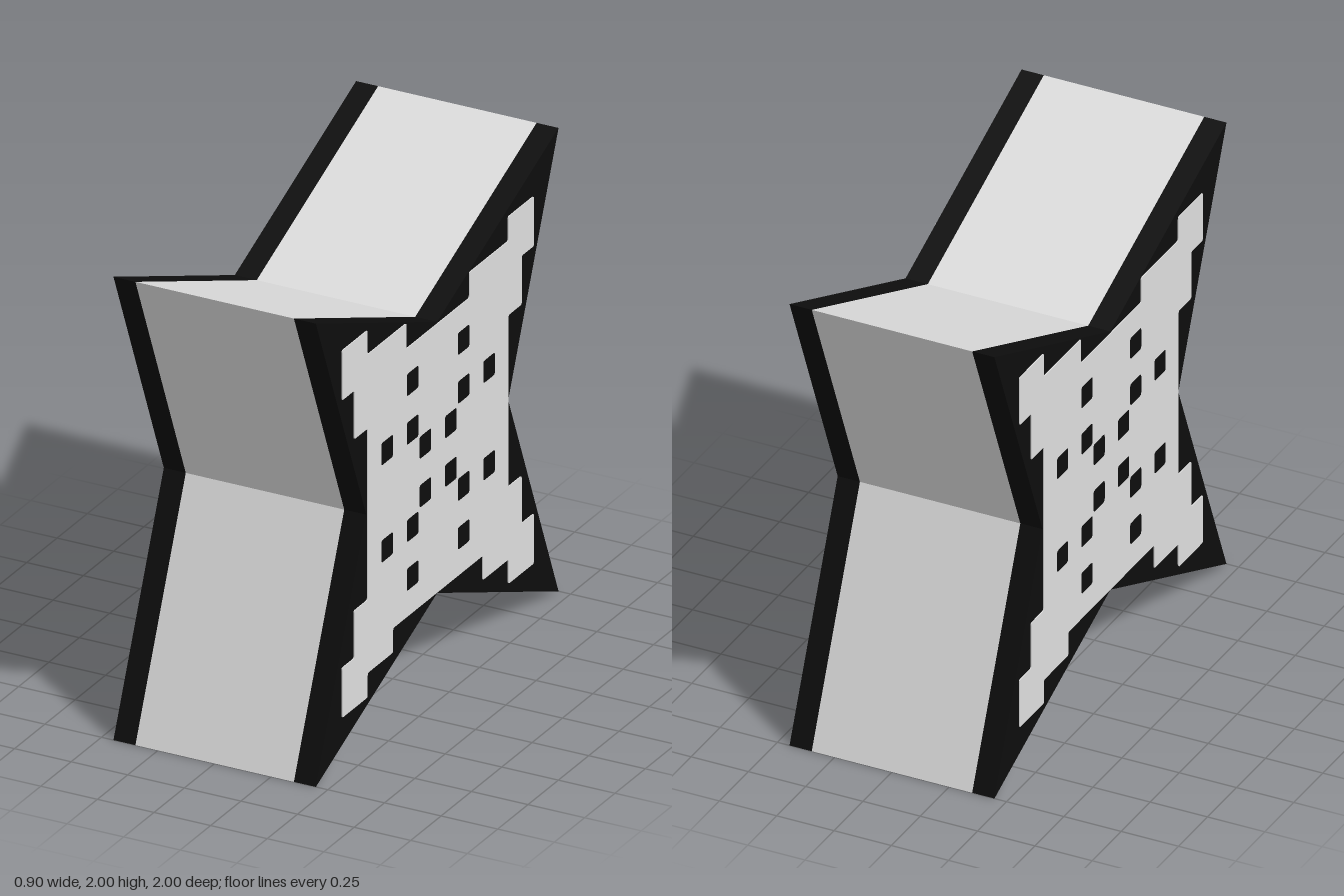
import * as THREE from 'three';

const light = new THREE.MeshStandardMaterial({ color: 0xdedede });
light.name = 'light grey';
const black = new THREE.MeshStandardMaterial({ color: 0x0d0d0d });
black.name = 'black';

const CENTER_Y = 1, NOTCH = 0.585, CORE_HALF = 0.35, HALF = 0.447, PLATE = 0.004;

// Four-pointed star profile, drawn as (z, y)
function starShape() {
  const n = NOTCH;
  const points = [[1, 1], [0, n], [-1, 1], [-n, 0], [-1, -1], [0, -n], [1, -1], [n, 0]];
  return new THREE.Shape(points.map(([z, y]) => new THREE.Vector2(z, y)));
}

// Closed polygon with slightly softened corners
function softPath(points, radius, path) {
  const v = points.map(([z, y]) => new THREE.Vector2(z, y));
  v.forEach((p, i) => {
    const before = v[(i + v.length - 1) % v.length], after = v[(i + 1) % v.length];
    const a = p.clone().add(before.clone().sub(p).setLength(radius));
    const b = p.clone().add(after.clone().sub(p).setLength(radius));
    if (i === 0) path.moveTo(a.x, a.y);
    else path.lineTo(a.x, a.y);
    path.quadraticCurveTo(p.x, p.y, b.x, b.y);
  });
  path.closePath();
  return path;
}

// Stepped plate with square holes
function plateShape() {
  const half = [
    [0.26, 0.58], [0.26, 0.69], [0.58, 0.69], [0.58, 0.795], [0.79, 0.795], [0.79, 0.58],
    [0.69, 0.58], [0.69, 0.37], [0.58, 0.37], [0.58, -0.37], [0.69, -0.37], [0.69, -0.575],
    [0.79, -0.575], [0.79, -0.79], [0.58, -0.79], [0.58, -0.685], [0.37, -0.685], [0.37, -0.58],
  ];
  const outline = [...half, ...half.map(([z, y]) => [-z, y]).reverse()];
  const shape = softPath(outline, 0.01, new THREE.Shape());
  const h = 0.048;
  for (const [z, y] of [[0.21, 0.42], [0.21, 0.21], [0.42, 0.21], [0.105, 0.105]]) {
    for (const sz of [1, -1]) for (const sy of [1, -1]) {
      const cz = z * sz, cy = y * sy;
      const square = [[cz - h, cy - h], [cz - h, cy + h], [cz + h, cy + h], [cz + h, cy - h]];
      shape.holes.push(softPath(square, 0.012, new THREE.Path()));
    }
  }
  return shape;
}

// Extrudes a (z, y) shape across x, from the middle position outward both ways
function slab(name, shape, thickness, x, material) {
  const geometry = new THREE.ExtrudeGeometry(shape, { depth: thickness, bevelEnabled: false, curveSegments: 3 });
  geometry.translate(0, 0, -thickness / 2);
  geometry.rotateY(-Math.PI / 2);
  const mesh = new THREE.Mesh(geometry, material);
  mesh.name = name;
  mesh.position.set(x, CENTER_Y, 0);
  return mesh;
}

export function createModel() {
  const group = new THREE.Group();
  group.name = 'star block';
  group.add(slab('starCore', starShape(), CORE_HALF * 2, 0, light));

  // Black end caps and their patterned plates
  for (const [side, s] of [['left', 1], ['right', -1]]) {
    group.add(slab(side + 'Cap', starShape(), HALF - CORE_HALF, s * (HALF + CORE_HALF) / 2, black));
    group.add(slab(side + 'Plate', plateShape(), PLATE, s * (HALF + PLATE / 2), light));
  }
  return group;
}
